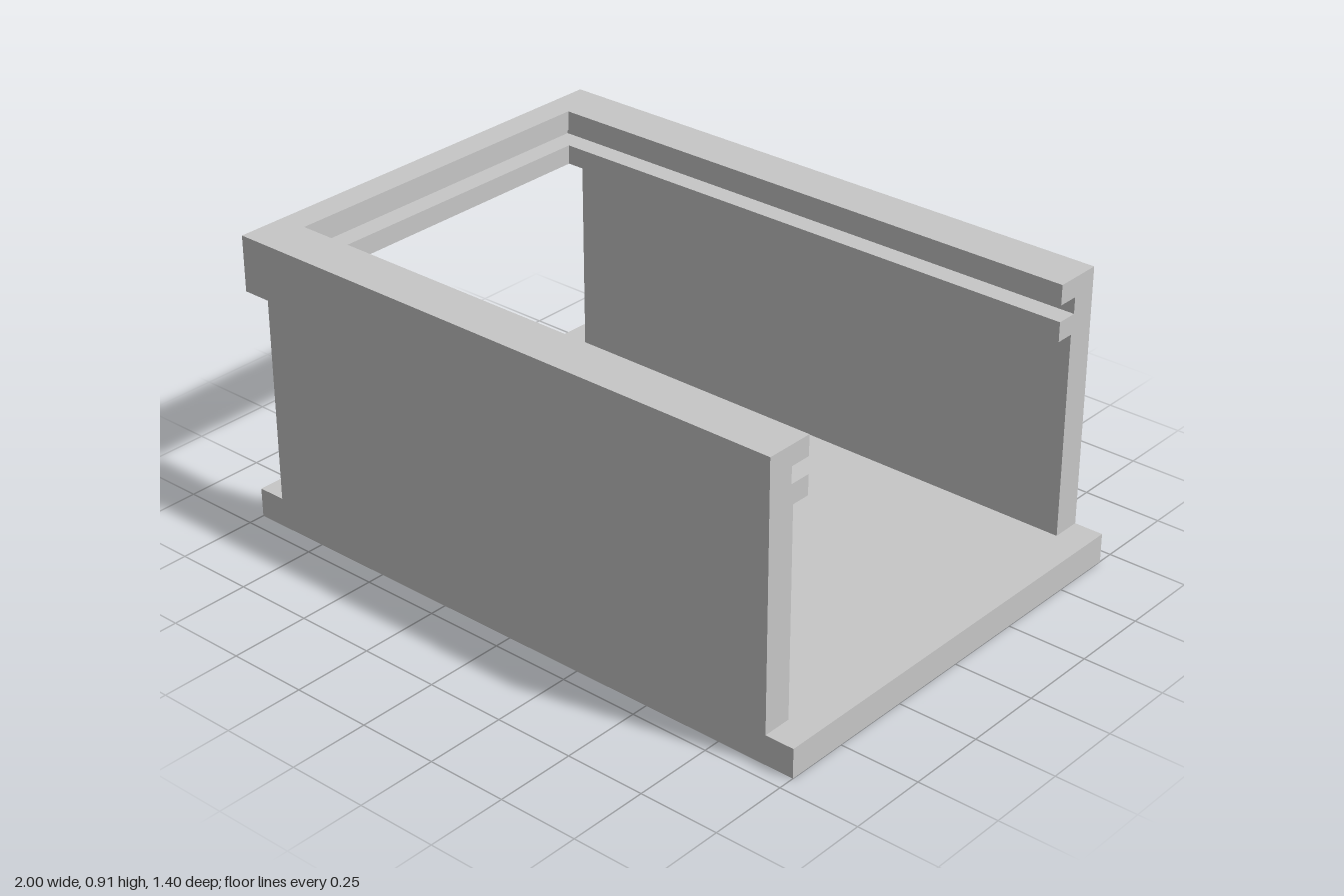
import * as THREE from 'three';

const HALF_Z = 0.698;      // half width of the whole box
const WALL_IN = 0.605;     // inner face of the side walls
const BACK = -0.91;        // inner face of the end bar
const OPEN = 0.908;        // open end of the walls and rails

export function createModel() {
  const grey = new THREE.MeshStandardMaterial({ color: 0xc7c7c7 });
  grey.name = 'lightGrey';
  const model = new THREE.Group();
  model.name = 'slidingLidBox';

  function add(name, geometry) {
    const mesh = new THREE.Mesh(geometry, grey);
    mesh.name = name;
    model.add(mesh);
  }

  function block(name, x0, x1, y0, y1, z0, z1) {
    const g = new THREE.BoxGeometry(x1 - x0, y1 - y0, z1 - z0);
    g.translate((x0 + x1) / 2, (y0 + y1) / 2, (z0 + z1) / 2);
    add(name, g);
  }

  // U-shaped rim layer, open towards +x
  function rimLayer(name, y0, y1, innerX, innerZ) {
    const shape = new THREE.Shape([
      [-1, -HALF_Z], [OPEN, -HALF_Z], [OPEN, -innerZ], [innerX, -innerZ],
      [innerX, innerZ], [OPEN, innerZ], [OPEN, HALF_Z], [-1, HALF_Z],
    ].map(([x, y]) => new THREE.Vector2(x, y)));
    const g = new THREE.ExtrudeGeometry(shape, { depth: y1 - y0, bevelEnabled: false });
    g.rotateX(-Math.PI / 2);
    g.translate(0, y0, 0);
    add(name, g);
  }

  // Floor and side walls
  block('floor', -1, 1, 0, 0.092, -HALF_Z, HALF_Z);
  block('leftWall', BACK, OPEN, 0.092, 0.736, WALL_IN, HALF_Z);
  block('rightWall', BACK, OPEN, 0.092, 0.736, -HALF_Z, -WALL_IN);

  // Rim with a groove for the sliding lid between two ledges
  rimLayer('lowerLedge', 0.736, 0.797, BACK, 0.546);
  rimLayer('lidGroove', 0.797, 0.848, BACK - 0.067, 0.613);
  rimLayer('upperLedge', 0.848, 0.91, BACK, 0.546);

  return model;
}
